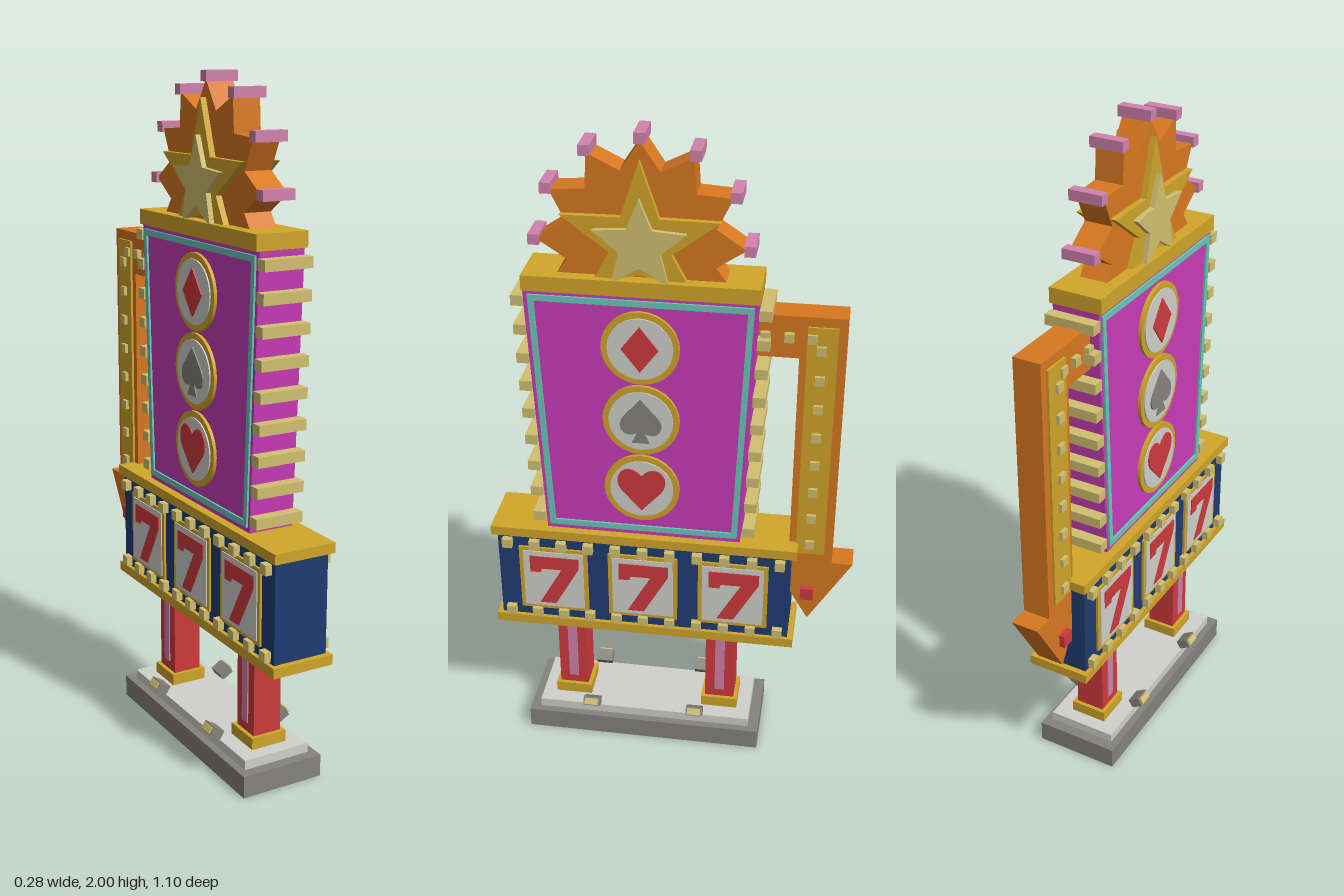
import * as THREE from 'three';

const mat = (name, color) => {
  const m = new THREE.MeshStandardMaterial({ color });
  m.name = name;
  return m;
};

export function createModel() {
  const gold = mat('gold', 0xd0a62a), cream = mat('cream', 0xd2c070), orange = mat('orange', 0xd87820),
    magenta = mat('magenta', 0xc83cb8), teal = mat('teal', 0x6cc8b8), red = mat('red', 0xcf3a3c),
    navy = mat('navy', 0x203c72), white = mat('white', 0xd0d0cc), grey = mat('grey', 0x84837d),
    pink = mat('pink', 0xd282ae);

  // The sign is built facing +z, centred on its own axis, and turned sideways at the end.
  const sign = new THREE.Group();
  sign.name = 'sign';

  const add = (parent, name, geo, material, x = 0, y = 0, z = 0) => {
    const m = new THREE.Mesh(geo, material);
    m.name = name;
    m.position.set(x, y, z);
    parent.add(m);
    return m;
  };
  const box = (parent, name, material, w, h, d, x, y, z = 0) =>
    add(parent, name, new THREE.BoxGeometry(w, h, d), material, x, y, z);
  const poly = pts => new THREE.Shape(pts.map(p => new THREE.Vector2(p[0], p[1])));
  // Flat shape pushed out from depth z0 to z1
  const slab = (parent, name, material, shape, z0, z1, x = 0, y = 0) =>
    add(parent, name, new THREE.ExtrudeGeometry(shape, { depth: z1 - z0, bevelEnabled: false, curveSegments: 10 }),
      material, x, y, z0);
  const disc = (parent, name, material, r, z0, z1, y) => {
    const g = new THREE.CylinderGeometry(r, r, z1 - z0, 28).rotateX(Math.PI / 2);
    return add(parent, name, g, material, 0, y, (z0 + z1) / 2);
  };
  const starShape = (n, outer, inner, cy, minY) => {
    const pts = [];
    for (let i = 0; i < n * 2; i++) {
      const a = Math.PI / 2 + i * Math.PI / n, r = i % 2 ? inner : outer;
      pts.push([Math.cos(a) * r, Math.max(cy + Math.sin(a) * r, minY - i * 1e-5)]);
    }
    return poly(pts);
  };
  const trapezoid = (y0, y1, w0, w1) => [[-w0, y0], [w0, y0], [w1, y1], [-w1, y1]];

  // Base, plinth and posts
  box(sign, 'base', grey, 0.745, 0.067, 0.26, 0, 0.0335);
  box(sign, 'plinth', white, 0.68, 0.03, 0.214, 0, 0.081);
  for (const s of [-1, 1]) {
    box(sign, 'postFoot', gold, 0.116, 0.036, 0.114, s * 0.239, 0.113);
    box(sign, 'post', red, 0.092, 0.28, 0.09, s * 0.239, 0.265);
  }

  // Reel cabinet
  box(sign, 'cabinet', navy, 0.9, 0.31, 0.17, 0, 0.58);
  box(sign, 'cabinetTop', gold, 0.935, 0.03, 0.194, 0, 0.745);
  box(sign, 'cabinetBottom', gold, 0.935, 0.03, 0.194, 0, 0.415);

  // Tapered main board with cap and edge bulbs
  slab(sign, 'board', magenta, poly(trapezoid(0.755, 1.55, 0.293, 0.33)), -0.07, 0.07);
  box(sign, 'boardCap', gold, 0.662, 0.045, 0.16, 0, 1.568);
  for (let i = 0; i < 9; i++) {
    for (const s of [-1, 1]) {
      box(sign, 'edgeBulb', cream, 0.036, 0.031, 0.15, s * (0.318 + i * 0.0035), 0.798 + i * 0.0892);
    }
  }

  // Sunburst crown with tip lamps
  slab(sign, 'sunburst', orange, starShape(12, 0.287, 0.212, 1.685, 1.57), -0.042, 0.042);
  for (let i = 0; i < 7; i++) {
    const a = i * Math.PI / 6;
    box(sign, 'tipLamp', pink, 0.031, 0.03, 0.1, Math.cos(a) * 0.296, 1.685 + Math.sin(a) * 0.296);
  }

  // Details shared by both faces
  const seven = poly([[-0.073, 0.088], [0.08, 0.088], [0.08, 0.052], [0.004, -0.085], [-0.046, -0.085],
    [0.026, 0.044], [-0.036, 0.044], [-0.04, 0.03], [-0.073, 0.03]]);
  const diamond = poly([[0, -0.07], [0.053, 0], [0, 0.07], [-0.053, 0]]);
  const heart = new THREE.Shape();
  heart.moveTo(0, -0.072);
  heart.lineTo(0.06, -0.005);
  heart.bezierCurveTo(0.095, 0.045, 0.04, 0.1, 0, 0.045);
  heart.bezierCurveTo(-0.04, 0.1, -0.095, 0.045, -0.06, -0.005);
  heart.closePath();
  const spade = new THREE.Shape();
  spade.moveTo(0, 0.072);
  spade.lineTo(0.05, 0.015);
  spade.bezierCurveTo(0.08, -0.025, 0.04, -0.06, 0.01, -0.035);
  spade.lineTo(0.026, -0.07);
  spade.lineTo(-0.026, -0.07);
  spade.lineTo(-0.01, -0.035);
  spade.bezierCurveTo(-0.04, -0.06, -0.08, -0.025, -0.05, 0.015);
  spade.closePath();
  const trim = poly(trapezoid(0.775, 1.533, 0.284, 0.316));
  trim.holes.push(new THREE.Path(trapezoid(0.793, 1.515, 0.267, 0.298).map(p => new THREE.Vector2(...p))));

  for (const turn of [0, Math.PI]) {
    const face = new THREE.Group();
    face.name = turn ? 'backFace' : 'frontFace';
    face.rotation.y = turn;
    sign.add(face);

    // Reel windows with sevens
    for (const x of [-0.278, 0, 0.278]) {
      box(face, 'reelFrame', gold, 0.214, 0.228, 0.008, x, 0.576, 0.088);
      box(face, 'reelWindow', white, 0.188, 0.204, 0.004, x, 0.576, 0.093);
      slab(face, 'seven', red, seven, 0.094, 0.098, x, 0.573);
    }
    for (let i = 0; i < 11; i++) {
      for (const y of [0.45, 0.704]) {
        box(face, 'cabinetBulb', cream, 0.03, 0.03, 0.024, (i - 5) * 0.0837, y, 0.093);
      }
    }

    // Board trim and the three medallions
    slab(face, 'boardTrim', teal, trim, 0.069, 0.076);
    [[1.39, diamond, red], [1.16, spade, grey], [0.93, heart, red]].forEach(([y, shape, m]) => {
      disc(face, 'medallionRim', gold, 0.112, 0.066, 0.08, y);
      disc(face, 'medallionDisc', white, 0.094, 0.079, 0.084, y);
      slab(face, 'suit', m, shape, 0.083, 0.088, 0, y);
    });

    // Layered star on the crown
    slab(face, 'star', gold, starShape(5, 0.23, 0.09, 1.694, 1.575), 0.04, 0.06);
    slab(face, 'starCentre', cream, starShape(5, 0.135, 0.06, 1.69, 1.575), 0.059, 0.075);

    // Post stripes and tilted floodlights
    for (const s of [-1, 1]) {
      box(face, 'postStripe', pink, 0.03, 0.235, 0.006, s * 0.239, 0.278, 0.046);
      const lamp = new THREE.Group();
      lamp.name = 'floodlight';
      lamp.position.set(s * 0.167, 0.116, 0.113);
      lamp.rotation.x = -0.55;
      face.add(lamp);
      box(lamp, 'lampBody', grey, 0.052, 0.028, 0.04, 0, 0, 0);
      box(lamp, 'lampLens', cream, 0.042, 0.02, 0.008, 0, 0, 0.021);
    }
  }

  // Arrow bracket hooking down beside the board
  const arrow = new THREE.Group();
  arrow.name = 'arrow';
  sign.add(arrow);
  slab(arrow, 'arrowBody', orange, poly([[0.3, 1.503], [0.3, 1.376], [0.44, 1.376], [0.44, 0.693], [0.379, 0.693],
    [0.506, 0.48], [0.633, 0.693], [0.57, 0.693], [0.57, 1.503]]), -0.042, 0.042);
  for (const s of [-1, 1]) {
    box(arrow, 'arrowPanel', gold, 0.085, 0.75, 0.008, 0.503, 1.1, s * 0.045);
    for (let i = 0; i < 8; i++) {
      box(arrow, 'arrowBulb', cream, 0.027, 0.027, 0.014, 0.501, 0.762 + i * 0.0922, s * 0.052);
    }
    for (const x of [0.345, 0.411, 0.475]) {
      box(arrow, 'armBulb', cream, 0.027, 0.027, 0.018, x, 1.441, s * 0.048);
    }
    box(arrow, 'tipBulb', red, 0.04, 0.04, 0.02, 0.501, 0.58, s * 0.05);
  }

  // Turn the sign so its faces look along +x and -x
  sign.position.z = 0.083;
  sign.rotation.y = Math.PI / 2;
  const model = new THREE.Group();
  model.name = 'casinoSign';
  model.add(sign);
  return model;
}
